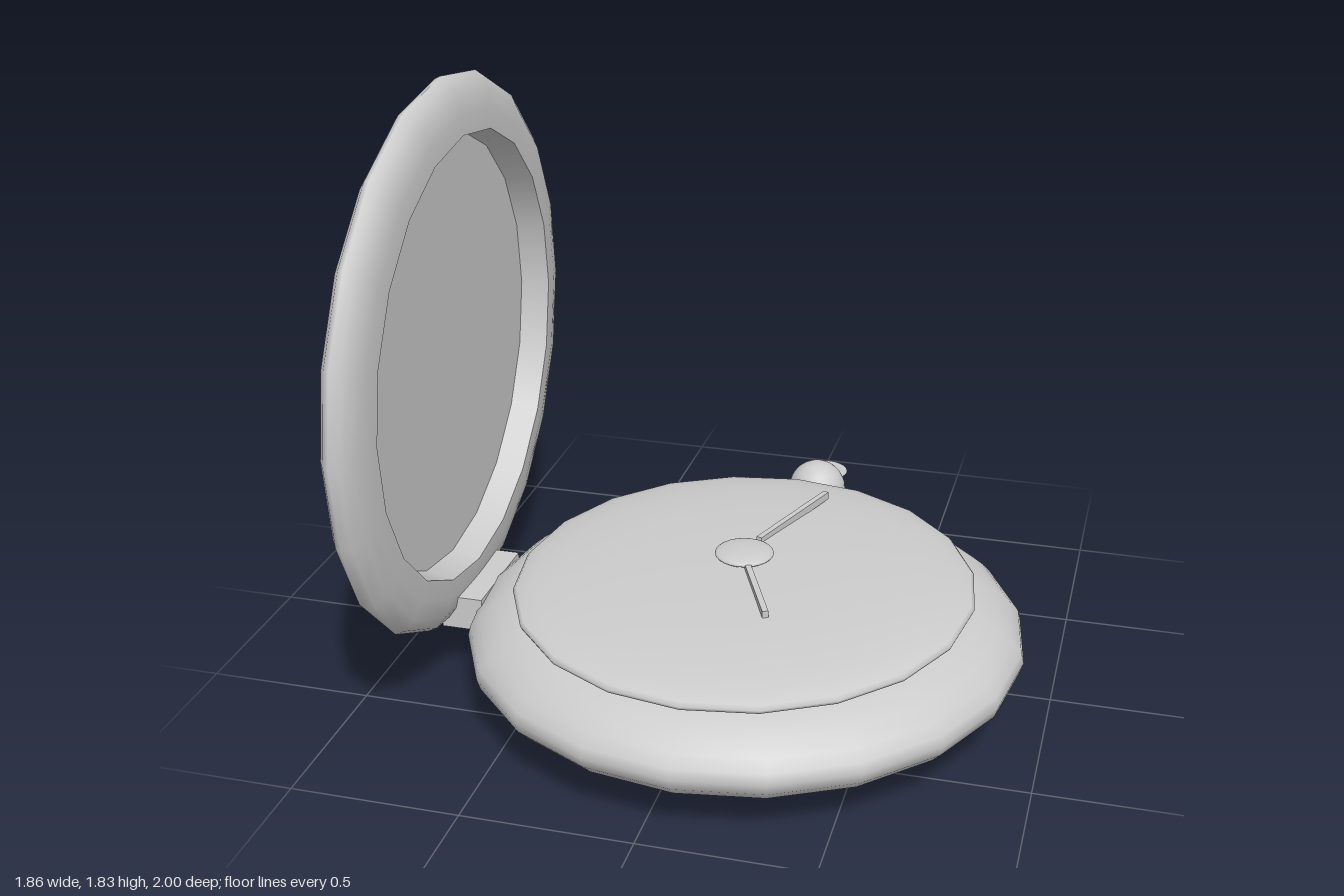
import * as THREE from 'three';

const SIDES = 20;
const CX = 0.097, CZ = 0.163; // centre of the case

export function createModel() {
  const watch = new THREE.Group();
  watch.name = 'pocketWatch';
  const metal = new THREE.MeshStandardMaterial({ color: 0xcccccc });
  metal.name = 'grey metal';
  const metalSheet = new THREE.MeshStandardMaterial({ color: 0xcccccc, side: THREE.DoubleSide });
  metalSheet.name = 'grey metal sheet';

  const add = (name, geometry, parent = watch, material = metal) => {
    const mesh = new THREE.Mesh(geometry, material);
    mesh.name = name;
    parent.add(mesh);
    return mesh;
  };
  // Turned part; profile is [radius, height] from bottom to top
  const turned = (profile) =>
    new THREE.LatheGeometry(profile.map(([r, y]) => new THREE.Vector2(r, y)), SIDES);

  // Case: shallow bowl below, rounded shoulder above
  const bowl = [];
  for (let i = 0; i <= 10; i++) {
    const a = (i / 10) * Math.PI / 2;
    bowl.push([0.83 * Math.sin(a), 0.215 - 0.21 * Math.cos(a)]);
  }
  bowl.push([0.822, 0.245], [0.795, 0.275], [0.755, 0.31], [0.7, 0.336], [0.66, 0.345]);
  add('case', turned(bowl)).position.set(CX, 0, CZ);

  // Domed crystal, slightly narrower across x
  const crystal = add('crystal', turned([
    [0.64, 0.343], [0.69, 0.347], [0.71, 0.356], [0.715, 0.367], [0.705, 0.378],
    [0.66, 0.391], [0.57, 0.408], [0.4, 0.423], [0.2, 0.429], [0, 0.431],
  ]));
  crystal.position.set(CX - 0.005, 0, CZ - 0.003);
  crystal.scale.x = 0.957;

  // Open lid: local +y is the inner side, separate strips keep the edges sharp
  const lid = new THREE.Group();
  lid.name = 'lid';
  lid.position.set(-0.806, 1.005, CZ);
  lid.rotation.z = -Math.PI / 2 - 0.018;
  watch.add(lid);
  add('lidDome', turned([
    [0, -0.124], [0.25, -0.12], [0.45, -0.108], [0.6, -0.092], [0.68, -0.078], [0.715, -0.066], [0.7, -0.058],
  ]), lid);
  add('lidRim', turned([
    [0.69, -0.06], [0.74, -0.056], [0.79, -0.038], [0.825, -0.015], [0.835, 0.004],
    [0.822, 0.028], [0.785, 0.052], [0.73, 0.064], [0.67, 0.067],
  ]), lid);
  add('lidRecessWall', turned([[0.67, 0.067], [0.655, -0.02]]), lid);
  add('lidRecessFloor', turned([[0.655, -0.02], [0, -0.02]]), lid);

  // Hinge between case and lid
  add('hinge', new THREE.BoxGeometry(0.13, 0.105, 0.32)).position.set(-0.75, 0.228, CZ);

  // Crown: stem, ball and flat loop
  const stem = add('stem', new THREE.CylinderGeometry(0.047, 0.047, 0.16, 16));
  stem.rotation.x = Math.PI / 2;
  stem.position.set(0.1, 0.225, -0.68);
  add('crownBall', new THREE.SphereGeometry(0.096, 24, 16)).position.set(0.104, 0.228, -0.805);
  const loop = add('loop', new THREE.RingGeometry(0.03, 0.082, 24), watch, metalSheet);
  loop.rotation.x = -Math.PI / 2;
  loop.position.set(0.103, 0.242, -0.918);

  // Hands run from the pivot to their tips
  const pivot = new THREE.Vector2(0.08, 0.122);
  const hands = [['longHand', 0.1, 0.02, 0.23, -0.34], ['shortHand', 0.095, 0.165, 0.225, 0.455]];
  for (const [name, x0, z0, x1, z1] of hands) {
    const length = Math.hypot(x1 - x0, z1 - z0);
    const hand = add(name, new THREE.BoxGeometry(0.018, 0.024, length));
    hand.position.set((x0 + x1) / 2, 0.434, (z0 + z1) / 2);
    hand.rotation.y = Math.atan2(x1 - x0, z1 - z0);
  }
  const cap = add('handCap', new THREE.SphereGeometry(0.088, 24, 16));
  cap.scale.y = 0.2;
  cap.position.set(pivot.x, 0.443, pivot.y);

  return watch;
}
